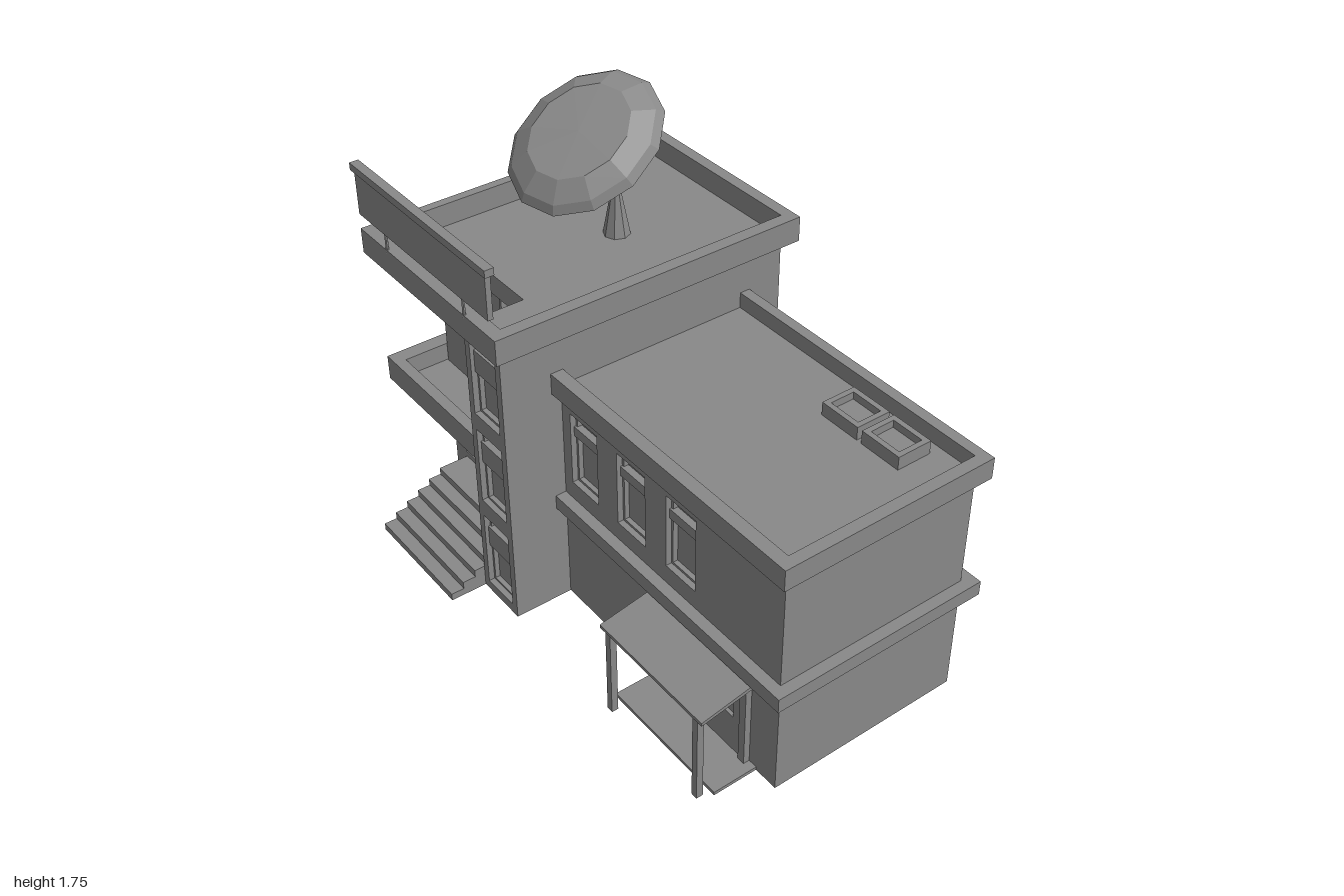
import * as THREE from 'three';

const mat = new THREE.MeshStandardMaterial({ color: 0x888888, flatShading: true, side: THREE.DoubleSide });

export function createModel() {
  const root = new THREE.Group();
  const add = (name, geo, parent = root) => {
    const m = new THREE.Mesh(geo, mat);
    m.name = name;
    parent.add(m);
    return m;
  };
  // Box given by its limits on each axis
  const box = (name, x0, x1, y0, y1, z0, z1, parent) =>
    add(name, new THREE.BoxGeometry(x1 - x0, y1 - y0, z1 - z0)
      .translate((x0 + x1) / 2, (y0 + y1) / 2, (z0 + z1) / 2), parent);
  const path = (pts) => pts.map(([a, b]) => new THREE.Vector2(a, b));
  const rect = (a0, a1, b0, b1) => [[a0, b0], [a1, b0], [a1, b1], [a0, b1]];
  const extrude = (outline, holes, depth) => {
    const s = new THREE.Shape(path(outline));
    holes.forEach((h) => s.holes.push(new THREE.Path(path(h))));
    return new THREE.ExtrudeGeometry(s, { depth, bevelEnabled: false });
  };
  // Horizontal slab: outline in (x, z)
  const slab = (name, outline, holes, y0, y1, parent) =>
    add(name, extrude(outline, holes, y1 - y0).rotateX(Math.PI / 2).translate(0, y1, 0), parent);
  // Upright panel facing +z: outline in (x, y)
  const panel = (name, outline, holes, z0, z1, parent) =>
    add(name, extrude(outline, holes, z1 - z0).translate(0, 0, z0), parent);
  // Window frame with a row of equal panes
  const frame = (name, [x0, x1, y0, y1], count, b, z0, z1) => {
    const w = (x1 - x0 - b * (count + 1)) / count, holes = [];
    for (let i = 0; i < count; i++) {
      const a = x0 + b + i * (w + b);
      holes.push(rect(a, a + w, y0 + b, y1 - b));
    }
    panel(name, rect(x0, x1, y0, y1), holes, z0, z1);
  };

  // Tower body with its recessed front wall
  const upper = [-0.867, -0.46, 0.748, 1.05], lower = [-0.86, -0.417, 0.193, 0.532];
  box('towerBody', -0.935, -0.173, 0, 1.13, -0.61, 0.27);
  panel('towerFrontWall', rect(-0.935, -0.173, 0, 1.13), [rect(...upper), rect(...lower)], 0.27, 0.31);
  frame('upperWindowFrame', upper, 4, 0.012, 0.27, 0.292);
  frame('patioDoorFrame', lower, 2, 0.018, 0.27, 0.292);

  // Front column with three stacked recessed windows
  const columnHoles = [0.037, 0.413, 0.788].map((y) => [-0.355, -0.203, y, y + 0.308]);
  box('columnCore', -0.383, -0.173, 0, 1.13, 0.3, 0.5);
  panel('columnFrontWall', rect(-0.383, -0.173, 0, 1.13), columnHoles.map((h) => rect(...h)), 0.5, 0.54);
  columnHoles.forEach((h) => {
    frame('columnWindowFrame', h, 1, 0.009, 0.5, 0.518);
    box('columnWindowBar', h[0], h[1], h[3] - 0.145, h[3] - 0.058, 0.5, 0.526);
  });

  // Tower parapet, bridging over the balcony
  slab('towerParapet', rect(-0.97, -0.13, -0.655, 0.575), [rect(-0.935, -0.178, -0.61, 0.525)], 1.12, 1.215);

  // Band around the tower, widening into the balcony
  slab('balconyAndBand',
    [[-1, -0.68], [-0.11, -0.68], [-0.11, -0.43], [-0.2, -0.43], [-0.2, 0.3], [-0.383, 0.3], [-0.383, 0.52], [-1, 0.52]],
    [rect(-0.94, -0.43, 0.3, 0.478)], 0.548, 0.645);
  box('balconyFloor', -0.95, -0.42, 0.55, 0.575, 0.29, 0.49);

  // Entrance steps
  for (let i = 0; i < 6; i++) {
    box('step', -0.86, -0.383, i * 0.0285, (i + 1) * 0.0285, 0.3, 0.68 - i * 0.05);
  }

  // Wing with recessed front windows
  const wingHoles = [-0.128, 0.132, 0.392].map((x) => [x, x + 0.15, 0.53, 0.82]);
  box('wingBody', -0.18, 0.958, 0, 0.91, -0.44, 0.275);
  panel('wingFrontWall', rect(-0.173, 0.958, 0, 0.91), wingHoles.map((h) => rect(...h)), 0.275, 0.315);
  wingHoles.forEach((h) => {
    frame('wingWindowFrame', h, 1, 0.009, 0.275, 0.293);
    box('wingWindowBar', h[0], h[1], h[3] - 0.098, h[3] - 0.06, 0.27, 0.301);
  });
  slab('wingParapet',
    [[-0.176, -0.475], [0.994, -0.475], [0.994, 0.353], [-0.176, 0.353], [-0.176, 0.305], [0.95, 0.305], [0.95, -0.435], [-0.176, -0.435]],
    [], 0.89, 0.97);
  slab('wingBand',
    [[-0.176, -0.487], [1, -0.487], [1, 0.357], [-0.176, 0.357], [-0.176, 0.3], [0.94, 0.3], [0.94, -0.42], [-0.176, -0.42]],
    [], 0.405, 0.46);

  // Side entrance: canopy, posts, door and notice
  const porch = new THREE.Group();
  porch.name = 'sideEntrance';
  root.add(porch);
  const canopy = [[0.31, 0.39], [0.54, 0.35], [0.54, 0.363], [0.31, 0.405]];
  add('canopy', extrude(canopy.map(([z, y]) => [-z, y]), [], 0.525)
    .rotateY(Math.PI / 2).translate(0.34, 0, 0), porch);
  for (const x of [0.365, 0.817]) box('canopyPost', x, x + 0.025, 0, 0.356, 0.512, 0.537, porch);
  box('porchSlab', 0.34, 0.865, 0, 0.013, 0.31, 0.485, porch);
  panel('doorFrame', [[0.567, 0], [0.592, 0], [0.592, 0.345], [0.8, 0.345], [0.8, 0], [0.83, 0], [0.83, 0.37], [0.567, 0.37]],
    [], 0.31, 0.338, porch);
  panel('door', rect(0.592, 0.8, 0.01, 0.345), [rect(0.613, 0.76, 0.16, 0.333)], 0.31, 0.328, porch);
  box('doorHandle', 0.607, 0.652, 0.13, 0.138, 0.32, 0.342, porch);
  box('noticeBoard', 0.422, 0.515, 0.192, 0.333, 0.31, 0.332, porch);

  // Open-topped roof vents
  for (const x of [0.459, 0.644]) {
    const vent = new THREE.Group();
    vent.name = 'roofVent';
    root.add(vent);
    slab('ventCasing', rect(x, x + 0.165, -0.39, -0.255), [rect(x + 0.02, x + 0.145, -0.37, -0.275)], 0.905, 0.96, vent);
    box('ventTray', x + 0.01, x + 0.155, 0.905, 0.932, -0.38, -0.265, vent);
  }

  // Blank sign board above the tower front
  box('signBoard', -0.955, -0.153, 1.28, 1.45, 0.56, 0.58);
  box('signCap', -0.97, -0.14, 1.443, 1.47, 0.553, 0.587);
  for (const x of [-0.797, -0.315]) {
    add('signPost', new THREE.CylinderGeometry(0.006, 0.006, 0.1, 6).translate(x, 1.25, 0.57));
  }

  // Roof dish: an oval cone with a faceted domed cover, tilted on a tapered stand
  add('dishStand', new THREE.CylinderGeometry(0.016, 0.05, 0.18, 8).translate(-0.54, 1.215, -0.178));
  const dish = add('dish', new THREE.LatheGeometry(
    path([[0, 0], [0.016, 0.005], [0.268, 0.345], [0.245, 0.375], [0.175, 0.418], [0, 0.424]]), 12)
    .scale(0.9, 1, 1.06));
  dish.position.set(-0.54, 1.295, -0.18);
  dish.quaternion.setFromUnitVectors(new THREE.Vector3(0, 1, 0), new THREE.Vector3(0.26, 0.82, 0.52).normalize());

  return root;
}
